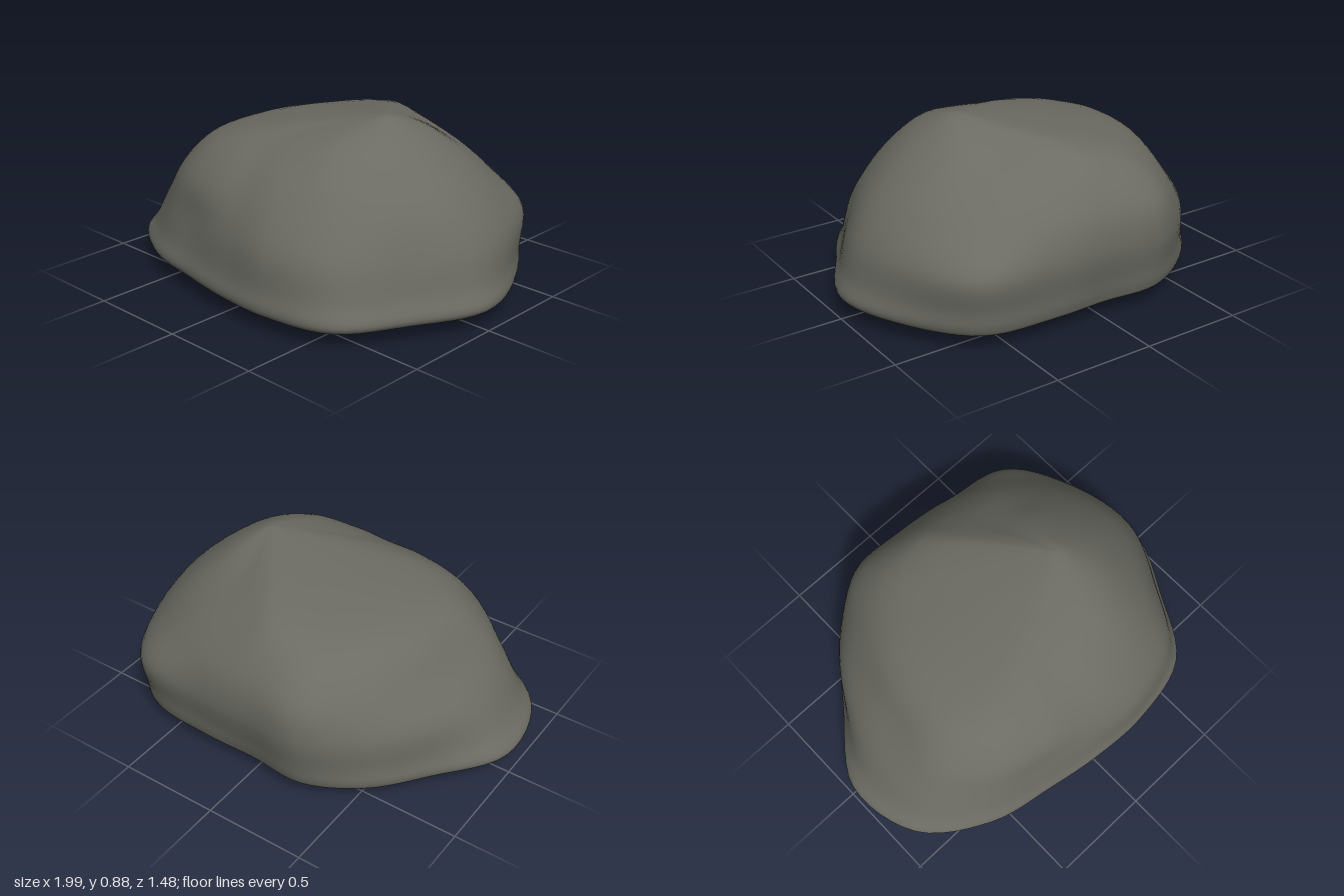
import * as THREE from 'three';
import { mergeVertices } from 'three/addons/utils/BufferGeometryUtils.js';

const AROUND = 96; // vertices around the boulder
const STEPS = 5;   // rows between two cross-sections

// Four key outlines: radii every 22.5 degrees from +x towards +z
const RIM = [0.995, 0.91, 0.91, 0.79, 0.72, 0.73, 0.85, 0.985, 0.985, 0.83, 0.79, 0.76, 0.69, 0.75, 0.91, 0.95];
const FLANK = [0.92, 0.84, 0.83, 0.75, 0.67, 0.67, 0.76, 0.84, 0.83, 0.79, 0.78, 0.79, 0.735, 0.78, 0.94, 0.93];
const WAIST = [0.83, 0.77, 0.73, 0.66, 0.6, 0.63, 0.7, 0.74, 0.69, 0.68, 0.71, 0.76, 0.71, 0.73, 0.8, 0.83];
const BROW = [0.55, 0.53, 0.47, 0.38, 0.34, 0.37, 0.42, 0.43, 0.43, 0.43, 0.44, 0.49, 0.51, 0.46, 0.45, 0.53];

// Smooth closed loop blended between two outlines, scaled, shifted by cx and tilted along x
function loop(y, from, to, mix, { scale = 1, tilt = 0, cx = 0 } = {}) {
  const points = from.map((start, i) => {
    const angle = (i / from.length) * Math.PI * 2;
    const radius = THREE.MathUtils.lerp(start, to[i], mix) * scale;
    const x = cx + radius * Math.cos(angle);
    return new THREE.Vector3(x, y + tilt * x, radius * Math.sin(angle));
  });
  const curve = new THREE.CatmullRomCurve3(points, true);
  return Array.from({ length: AROUND }, (_, i) => curve.getPoint(i / AROUND));
}

// Skin the loops with smooth ribs running from underside to summit
function boulderGeometry() {
  const base = new THREE.Vector3(0, 0, 0);
  const summit = new THREE.Vector3(0.36, 0.88, 0);
  const loops = [
    loop(0.03, RIM, FLANK, 0, { scale: 0.5 }),            // shallow underside
    loop(0.08, RIM, FLANK, 0, { scale: 0.975 }),
    loop(0.115, RIM, FLANK, 0),                           // rim
    loop(0.2, RIM, FLANK, 0.4),                           // flanks
    loop(0.36, FLANK, WAIST, 0),
    loop(0.52, WAIST, BROW, 0),
    loop(0.66, WAIST, BROW, 0.45),
    loop(0.755, WAIST, BROW, 1, { tilt: 0.06 }),          // edge of the sloping top
    loop(0.83, BROW, BROW, 0, { scale: 0.3, tilt: 0.09, cx: 0.25 }),
  ];
  const rows = (loops.length + 1) * STEPS;
  const positions = [];
  const index = [];
  for (let i = 0; i < AROUND; i++) {
    const rib = new THREE.CatmullRomCurve3([base, ...loops.map((points) => points[i]), summit]);
    const a = i * (rows + 1);
    const b = ((i + 1) % AROUND) * (rows + 1);
    for (let j = 0; j <= rows; j++) {
      positions.push(...rib.getPoint(j / rows).toArray());
      if (j > 0 && j < rows) index.push(a + j, a + j + 1, b + j);
      if (j < rows - 1) index.push(b + j, a + j + 1, b + j + 1);
    }
  }
  const skin = new THREE.BufferGeometry();
  skin.setAttribute('position', new THREE.Float32BufferAttribute(positions, 3));
  skin.setIndex(index);

  // Join the ribs at both ends so the shading stays smooth there
  const geometry = mergeVertices(skin, 1e-5);
  geometry.computeVertexNormals();
  return geometry;
}

export function createModel() {
  const group = new THREE.Group();
  group.name = 'rock';
  const stone = new THREE.MeshStandardMaterial({ color: 0x6b6b63 });
  stone.name = 'stone grey';
  const boulder = new THREE.Mesh(boulderGeometry(), stone);
  boulder.name = 'boulder';
  group.add(boulder);
  return group;
}
